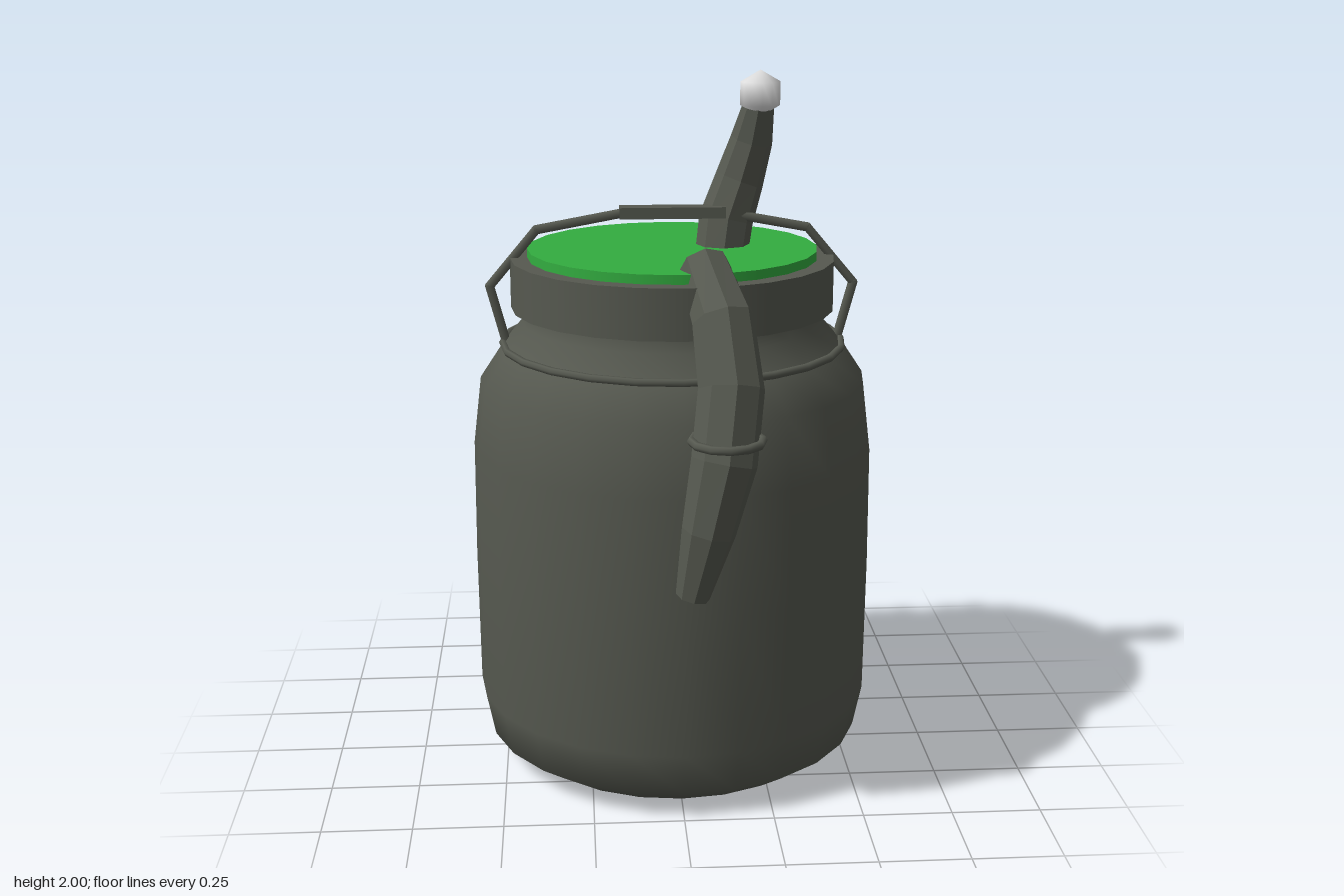
import * as THREE from 'three';

const CZ = -0.065; // jar axis
const SIDES = 24;

export function createModel() {
  const model = new THREE.Group();
  const mat = (name, color) => {
    const m = new THREE.MeshStandardMaterial({ color });
    m.name = name;
    return m;
  };
  const iron = mat('dark iron', 0x565950);
  const green = mat('green liquid', 0x33ad40);
  const white = mat('pale tip', 0xe2e2e2);

  const add = (name, geometry, material, x = 0, y = 0, z = 0, parent = model) => {
    const mesh = new THREE.Mesh(geometry, material);
    mesh.name = name;
    mesh.position.set(x, y, z);
    parent.add(mesh);
    return mesh;
  };

  // Jar body with a rounded base and shoulder
  const profile = [
    [0, 0], [0.25, 0.004], [0.46, 0.012], [0.552, 0.075], [0.577, 0.2], [0.58, 0.6],
    [0.577, 0.94], [0.553, 1.135], [0.49, 1.23], [0.43, 1.3], [0.428, 1.36],
  ].map(([r, y]) => new THREE.Vector2(r, y));
  add('jarBody', new THREE.LatheGeometry(profile, SIDES), iron, 0, 0, CZ);

  // Rim, liquid surface and the wire round the neck
  add('rim', new THREE.CylinderGeometry(0.461, 0.461, 0.142, SIDES), iron, 0, 1.411, CZ);
  add('liquid', new THREE.CylinderGeometry(0.412, 0.412, 0.05, SIDES), green, 0, 1.483, CZ);
  const wire = add('neckWire', new THREE.TorusGeometry(0.487, 0.011, 6, SIDES), iron, 0, 1.236, CZ);
  wire.rotation.x = Math.PI / 2;

  // Carrying handle made of straight rods
  const handle = new THREE.Group();
  handle.name = 'handle';
  handle.position.z = CZ;
  model.add(handle);
  const rod = (name, a, b, r) => {
    const from = new THREE.Vector3(a[0], a[1], 0);
    const dir = new THREE.Vector3(b[0], b[1], 0).sub(from);
    const mesh = add(name, new THREE.CylinderGeometry(r, r, dir.length() + r * 0.7, 6), iron, 0, 0, 0, handle);
    mesh.position.copy(from).addScaledVector(dir, 0.5);
    mesh.quaternion.setFromUnitVectors(new THREE.Vector3(0, 1, 0), dir.normalize());
  };
  const bend = [[0.478, 1.24], [0.52, 1.4], [0.385, 1.56], [0.13, 1.607]];
  for (const s of [-1, 1]) {
    for (let i = 0; i < bend.length - 1; i++) {
      rod('handleWire', [s * bend[i][0], bend[i][1]], [s * bend[i + 1][0], bend[i + 1][1]], 0.014);
    }
  }
  add('handleGrip', new THREE.BoxGeometry(0.3, 0.032, 0.056), iron, 0, 1.607, 0, handle);

  // Faceted tapering tentacle with closed ends
  const tentacle = (name, rings, sides) => {
    const curve = new THREE.CatmullRomCurve3(rings.map(([x, y, z]) => new THREE.Vector3(x, y, z)));
    const n = rings.length - 1;
    const tube = new THREE.TubeGeometry(curve, n, 1, sides, false);
    const p = tube.attributes.position;
    const pos = [];
    const index = Array.from(tube.index.array);
    const v = new THREE.Vector3();
    for (let i = 0; i <= n; i++) {
      const c = curve.getPointAt(i / n);
      for (let j = 0; j <= sides; j++) {
        v.fromBufferAttribute(p, i * (sides + 1) + j).sub(c).multiplyScalar(rings[i][3]).add(c);
        pos.push(v.x, v.y, v.z);
      }
    }
    const first = pos.length / 3;
    const last = n * (sides + 1);
    pos.push(...curve.getPointAt(0).toArray(), ...curve.getPointAt(1).toArray());
    for (let j = 0; j < sides; j++) {
      index.push(first, j, j + 1, first + 1, last + j + 1, last + j);
    }
    let g = new THREE.BufferGeometry();
    g.setAttribute('position', new THREE.Float32BufferAttribute(pos, 3));
    g.setIndex(index);
    g = g.toNonIndexed();
    g.computeVertexNormals();
    add(name, g, iron);
  };

  tentacle('hangingTentacle', [
    [0.065, 1.51, 0.26, 0.07], [0.097, 1.43, 0.385, 0.083], [0.12, 1.28, 0.472, 0.088],
    [0.105, 1.1, 0.54, 0.088], [0.06, 0.89, 0.568, 0.072], [0.016, 0.69, 0.556, 0.046],
  ], 8);
  const band = add('tentacleBand', new THREE.TorusGeometry(0.093, 0.012, 6, 12), iron, 0.105, 1.112, 0.541);
  band.rotation.x = Math.PI / 2;

  tentacle('risingTentacle', [
    [0.14, 1.46, -0.09, 0.075], [0.16, 1.59, -0.115, 0.078], [0.203, 1.71, -0.125, 0.07],
    [0.232, 1.82, -0.113, 0.06], [0.246, 1.915, -0.085, 0.042],
  ], 8);
  add('tentacleTip', new THREE.SphereGeometry(0.065, 12, 3), white, 0.247, 1.935, -0.08);

  return model;
}
